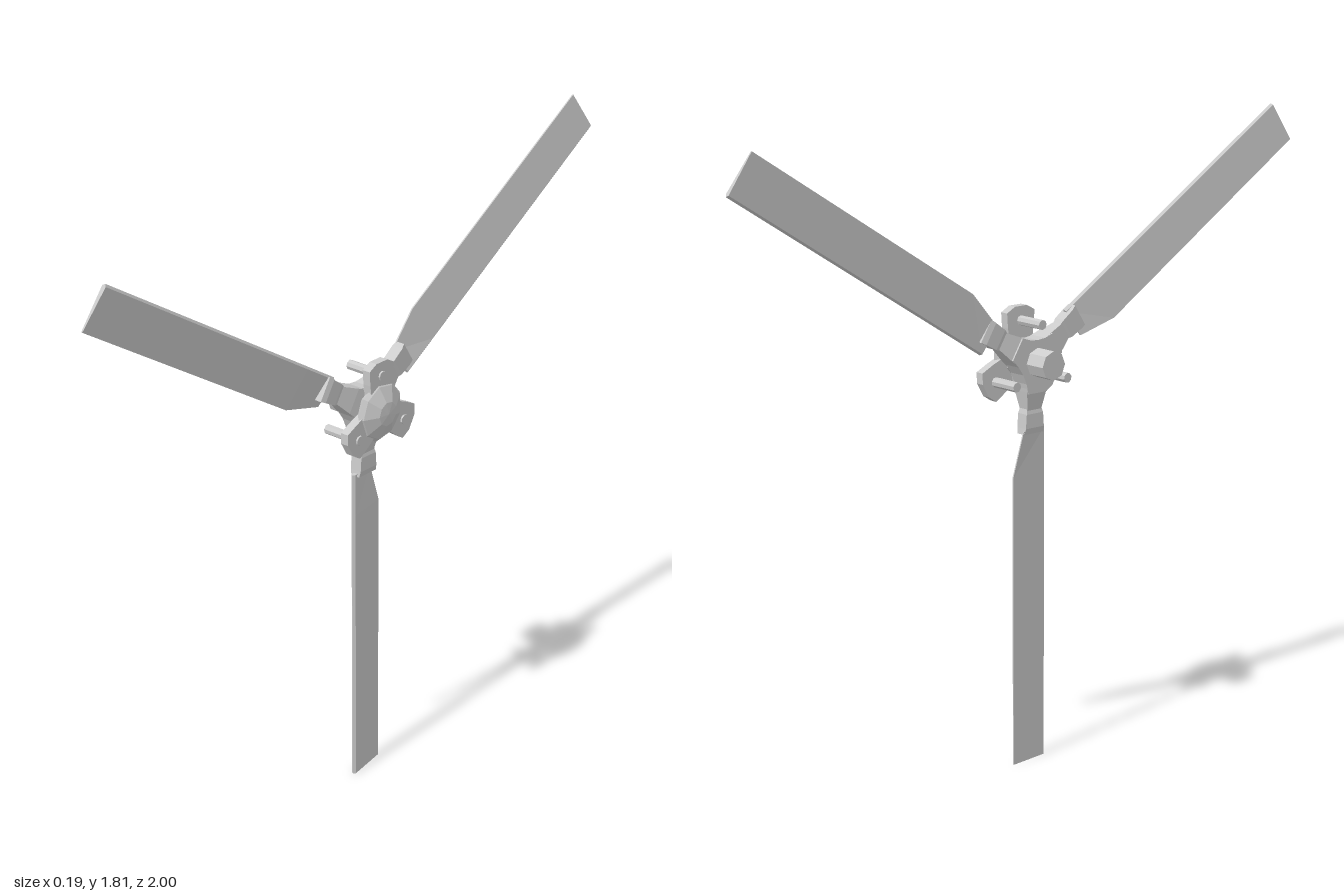
import * as THREE from 'three';

const material = new THREE.MeshStandardMaterial({ color: 0xcccccc, flatShading: true });
const deg = Math.PI / 180;
const bladeAngles = [180, -58, 58];
const pinAngles = [0, 120, 240];

function add(parent, geometry, name) {
  const mesh = new THREE.Mesh(geometry, material);
  mesh.name = name;
  parent.add(mesh);
  return mesh;
}

// Joins rings of [x, z] points, each at its own height y, and closes both ends
function loft(sections) {
  const n = sections[0].ring.length;
  const position = sections.flatMap(({ y, ring }) => ring.flatMap(([x, z]) => [x, y, z]));
  const index = [];
  for (let s = 0; s < sections.length - 1; s++) {
    for (let i = 0; i < n; i++) {
      const a = s * n + i, b = s * n + (i + 1) % n;
      index.push(a, b, b + n, a, b + n, a + n);
    }
  }
  const top = (sections.length - 1) * n;
  for (let i = 1; i < n - 1; i++) {
    index.push(0, i + 1, i, top, top + i, top + i + 1);
  }
  const geometry = new THREE.BufferGeometry();
  geometry.setAttribute('position', new THREE.Float32BufferAttribute(position, 3));
  geometry.setIndex(index);
  const flat = geometry.toNonIndexed();
  flat.computeVertexNormals();
  return flat;
}

// Rectangular section: y, half thickness in x, half width in z
const box = (y, t, w) => ({ y, ring: [[t, w], [t, -w], [-t, -w], [-t, w]] });

// Pitched blade section with a thick leading edge and a thin trailing edge
const airfoil = (y, tail) => ({
  y,
  ring: [[-0.011, tail], [0.009, -0.044], [0.004, -0.051], [-0.004, -0.046], [-0.015, tail]],
});

// Extrudes a shape along x, starting at x0
function plate(shape, x0, depth) {
  const geometry = new THREE.ExtrudeGeometry(shape, { depth, bevelEnabled: false, curveSegments: 4 });
  return geometry.rotateY(Math.PI / 2).translate(x0, 0, 0);
}

// Cylinder along x from x0 to x1
function rod(r, x0, x1, sides) {
  return new THREE.CylinderGeometry(r, r, x1 - x0, sides)
    .rotateZ(-Math.PI / 2).translate((x0 + x1) / 2, 0, 0);
}

export function createModel() {
  const model = new THREE.Group();
  model.name = 'rotor';

  // Three blades
  const blades = new THREE.Group();
  blades.name = 'blades';
  blades.position.set(0, 1.14, -0.01);
  model.add(blades);
  const bladeGeometry = loft([airfoil(0.18, 0.038), airfoil(0.305, 0.077), airfoil(1.14, 0.077)]);

  const hub = new THREE.Group();
  hub.name = 'hub';
  hub.position.set(0, 1.153, -0.01);
  model.add(hub);

  // Tapered arms with flared blade grips
  const armGeometry = loft([box(0.03, 0.03, 0.045), box(0.08, 0.026, 0.036), box(0.14, 0.015, 0.024)]);
  const gripGeometry = loft([
    box(0.125, 0.014, 0.024), box(0.145, 0.018, 0.03), box(0.185, 0.018, 0.033), box(0.202, 0.014, 0.035),
  ]);
  for (const angle of bladeAngles) {
    add(blades, bladeGeometry, 'blade').rotation.x = angle * deg;
    add(hub, armGeometry, 'arm').rotation.x = angle * deg;
    add(hub, gripGeometry, 'bladeGrip').rotation.x = angle * deg;
  }

  // Three-armed body with concave sides
  const body = new THREE.Shape();
  [58, 180, 302].forEach((angle, k) => {
    const corner = (r, w) => new THREE.Vector2(w, r).rotateAround(new THREE.Vector2(), angle * deg);
    const a = corner(0.085, 0.034), b = corner(0.085, -0.034);
    const mid = new THREE.Vector2(0, 0.05).rotateAround(new THREE.Vector2(), (angle - 60) * deg);
    if (k === 0) body.moveTo(a.x, a.y);
    else body.quadraticCurveTo(mid.x, mid.y, a.x, a.y);
    body.lineTo(b.x, b.y);
  });
  const close = new THREE.Vector2(0, 0.05);
  const start = new THREE.Vector2(0.034, 0.085).rotateAround(new THREE.Vector2(), 58 * deg);
  body.quadraticCurveTo(close.x, close.y, start.x, start.y);
  add(hub, plate(body, -0.03, 0.052), 'hubBody');

  // Drive shaft and neck
  add(hub, rod(0.041, -0.095, 0, 8), 'shaft');
  add(hub, rod(0.055, -0.01, 0.05, 9), 'neck');

  // Faceted cap
  const profile = [[0, 0.042], [0.075, 0.042], [0.088, 0.058], [0.078, 0.068], [0.035, 0.088], [0, 0.091]]
    .map(([r, h]) => new THREE.Vector2(r, h));
  add(hub, new THREE.LatheGeometry(profile, 9).rotateZ(-Math.PI / 2), 'cap');

  // Lugs around the cap, each holding a pin
  const lug = new THREE.Shape();
  [[-0.04, 0.04], [0.04, 0.04], [0.047, 0.09], [0.05, 0.132], [0.022, 0.147],
    [-0.022, 0.147], [-0.05, 0.132], [-0.047, 0.09]]
    .forEach(([x, y], i) => (i ? lug.lineTo(x, y) : lug.moveTo(x, y)));
  const lugGeometry = plate(lug, 0.04, 0.025);
  const pinGeometry = rod(0.014, -0.05, 0.07, 8).translate(0, 0.107, 0);
  for (const angle of pinAngles) {
    add(hub, lugGeometry, 'lug').rotation.x = angle * deg;
    add(hub, pinGeometry, 'pin').rotation.x = angle * deg;
  }

  return model;
}
